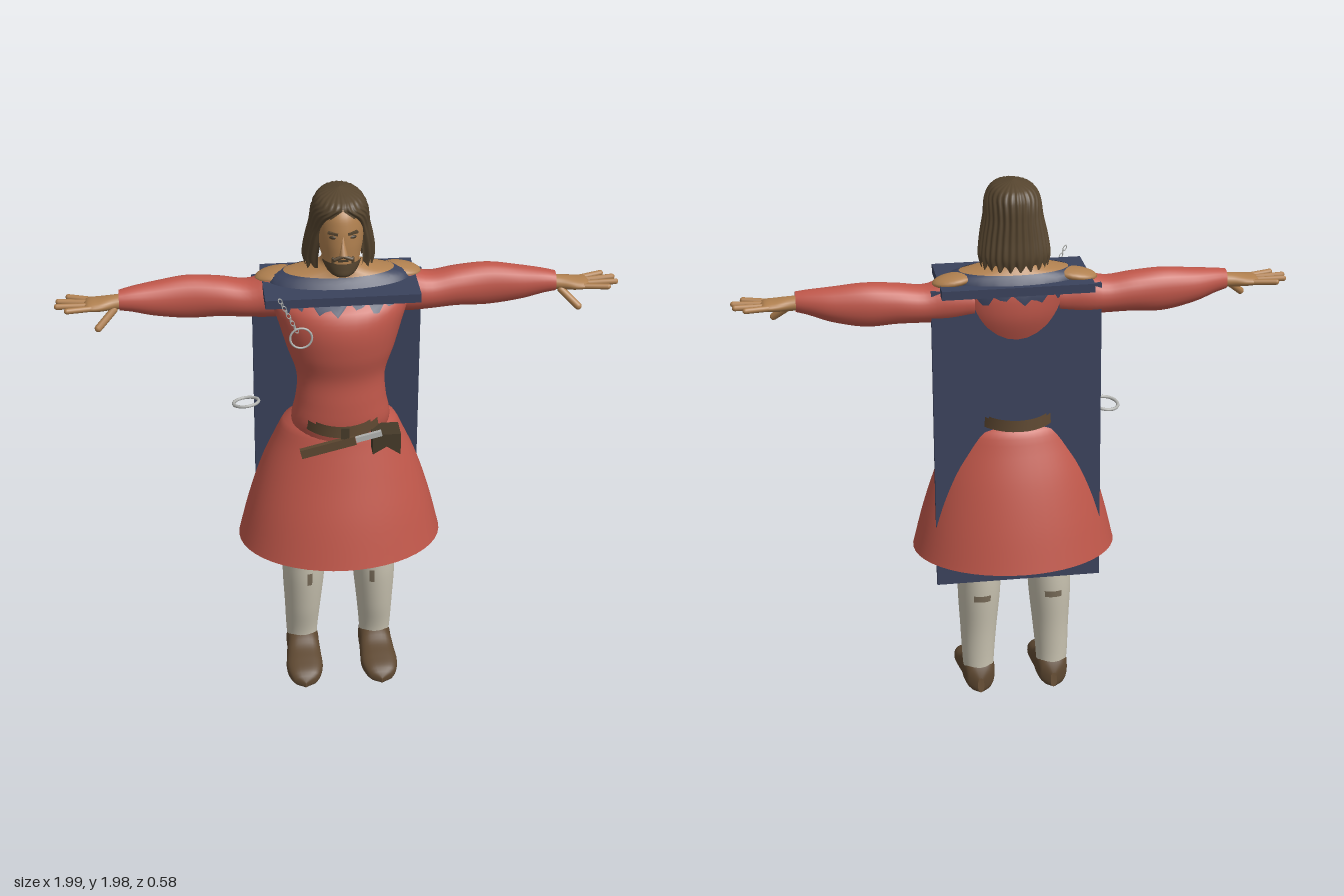
import * as THREE from 'three';
import { mergeVertices } from 'three/addons/utils/BufferGeometryUtils.js';

const { sin, cos, PI, abs, sign, max } = Math;
const V = (x, y, z) => new THREE.Vector3(x, y, z);
const paint = (name, color, side = THREE.DoubleSide) => {
  const m = new THREE.MeshStandardMaterial({ color, side });
  m.name = name;
  return m;
};

export function createModel() {
  const root = new THREE.Group();
  root.name = 'cloakedTraveller';
  const tunic = paint('red cloth', 0xc0574a);
  const navy = paint('navy cloth', 0x3a425c);
  const skin = paint('skin', 0xb0804f);
  const hair = paint('brown hair', 0x56452f);
  const leather = paint('leather', 0x5e4831);
  const dark = paint('dark leather', 0x463a29);
  const hose = paint('pale hose', 0xc8c2b0);
  const worn = paint('worn hose', 0x7a6d5a);
  const steel = paint('steel', 0xb4b5b2);

  const add = (name, geo, mat, pos = [0, 0, 0], rot = [0, 0, 0], scale = [1, 1, 1]) => {
    const m = new THREE.Mesh(geo, mat);
    m.name = name;
    m.position.set(...pos);
    m.rotation.set(...rot);
    m.scale.set(...scale);
    root.add(m);
    return m;
  };

  // Smooth interpolation of a table of cross-sections, keyed by the first column
  const sample = (rows, key) => {
    let i = 0;
    while (i < rows.length - 2 && key > rows[i + 1][0]) i++;
    const a = rows[i], b = rows[i + 1], p = rows[max(i - 1, 0)], q = rows[Math.min(i + 2, rows.length - 1)];
    const h = b[0] - a[0], t = (key - a[0]) / h, t2 = t * t, t3 = t2 * t;
    return a.map((v, k) => {
      if (k === 0) return key;
      const m0 = (b[k] - p[k]) / (b[0] - p[0]) * h, m1 = (q[k] - v) / (q[0] - a[0]) * h;
      return (2 * t3 - 3 * t2 + 1) * v + (t3 - 2 * t2 + t) * m0 + (3 * t2 - 2 * t3) * b[k] + (t3 - t2) * m1;
    });
  };

  // Surface over a grid; fn(u, v) with u along the rows and v around, both 0..1
  const grid = (nu, nv, fn) => {
    const pos = [], idx = [];
    for (let i = 0; i <= nu; i++) for (let j = 0; j <= nv; j++) pos.push(...fn(i / nu, j / nv));
    for (let i = 0; i < nu; i++) for (let j = 0; j < nv; j++) {
      const a = i * (nv + 1) + j, b = a + nv + 1;
      idx.push(a, a + 1, b + 1, a, b + 1, b);
    }
    let g = new THREE.BufferGeometry();
    g.setAttribute('position', new THREE.Float32BufferAttribute(pos, 3));
    g.setIndex(idx);
    g = mergeVertices(g, 1e-5);
    g.computeVertexNormals();
    return g;
  };

  // Upright loft of rows [y, cx, cz, rx, rz] from y0 to y1, over angles a0..a1, grown by "grow"
  const loft = (rows, y0, y1, { nu = 20, nv = 36, a0 = 0, a1 = 2 * PI, grow = 0, s = 1, edge = () => 0 } = {}) =>
    grid(nu, nv, (u, v) => {
      const a = a0 + (a1 - a0) * v;
      const lo = y0 + edge(a);
      const [y, cx, cz, rx, rz] = sample(rows, lo + (y1 - lo) * u);
      return [s * cx + (rx + grow) * sin(a), y, cz + (rz + grow) * cos(a)];
    });

  // Torso, navy yoke with a ragged hem, and bare neck
  const body = [
    [1.06, 0, 0.04, 0.17, 0.12], [1.12, 0, 0.05, 0.178, 0.122], [1.2, 0, 0.06, 0.163, 0.112],
    [1.3, 0, 0.063, 0.158, 0.106], [1.4, 0, 0.055, 0.19, 0.137], [1.5, 0, 0.04, 0.22, 0.158],
    [1.57, 0, 0.025, 0.243, 0.148], [1.62, 0, 0, 0.25, 0.115], [1.66, 0, -0.01, 0.22, 0.085],
    [1.685, 0, -0.005, 0.11, 0.072], [1.71, 0, 0, 0.066, 0.065], [1.78, 0, 0.015, 0.06, 0.06],
  ];
  add('torso', loft(body, 1.06, 1.61, { nu: 30 }), tunic);
  add('yoke', loft(body, 1.585, 1.668, {
    nu: 10, nv: 72, grow: 0.004, edge: a => 0.014 * sin(a * 23) + 0.01 * sin(a * 9),
  }), navy);
  add('neck', loft(body, 1.655, 1.78), skin);
  add('collarSlab', new THREE.BoxGeometry(0.54, 0.032, 0.295), navy, [0, 1.62, 0.015]);

  // Cape, leaning back towards its hem
  add('cape', new THREE.BoxGeometry(0.605, 1.13, 0.018), navy, [0, 1.055, -0.099], [0.04, 0, 0]);

  // Skirt with lining, and the belt
  const skirt = [
    [0.59, 0, 0, 0.375, 0.29], [0.75, 0, 0, 0.335, 0.25], [0.9, 0, 0, 0.287, 0.205],
    [1.02, 0, 0.005, 0.235, 0.165], [1.09, 0, 0.01, 0.2, 0.14], [1.105, 0, 0.015, 0.175, 0.12],
  ];
  add('skirt', loft(skirt, 0.59, 1.105, { nu: 24, nv: 48 }), tunic);
  add('skirtLining', loft(skirt, 0.615, 1.09, { nu: 16, nv: 48, grow: -0.008 }), navy);
  const belt = [[1.105, 0, 0.02, 0.16, 0.192], [1.143, 0, 0.02, 0.158, 0.19]];
  add('belt', loft(belt, 1.105, 1.143, { nu: 1 }), leather);
  add('beltInside', loft(belt, 1.105, 1.143, { nu: 1, grow: -0.012 }), leather);
  add('buckle', new THREE.BoxGeometry(0.03, 0.042, 0.008), dark, [0, 1.125, 0.214]);

  // Pouch with a notched lower edge
  const flap = new THREE.Shape([[0.1, 1.11], [0.1, 1.03], [0.15, 1.06], [0.2, 1.025], [0.2, 1.11]]
    .map(p => new THREE.Vector2(...p)));
  add('pouch', new THREE.ExtrudeGeometry(flap, { depth: 0.085, bevelEnabled: false }), dark, [0, 0, 0.125]);

  // Dagger in its sheath
  add('sheath', new THREE.BoxGeometry(0.2, 0.034, 0.018), leather, [-0.06, 1.072, 0.21], [0, 0, 0.24]);
  add('daggerGrip', new THREE.BoxGeometry(0.095, 0.02, 0.014), steel, [0.085, 1.107, 0.21], [0, 0, 0.24]);

  // Loose bracelet, and a ring hanging from a chain
  add('bracelet', new THREE.TorusGeometry(0.046, 0.006, 8, 32), steel, [-0.335, 1.135, -0.03], [PI / 2 - 0.15, 0.1, 0]);
  add('hangingRing', new THREE.TorusGeometry(0.038, 0.004, 6, 28), steel, [-0.152, 1.51, 0.206]);
  for (let i = 0; i < 9; i++) {
    const t = i / 8;
    add('chainLink', new THREE.TorusGeometry(0.008, 0.002, 5, 10), steel,
      [-0.222 + 0.055 * t, 1.655 - 0.115 * t, 0.206], [0, i % 2 ? 1.2 : 0.3, -1.1], [1.3, 0.8, 1]);
  }

  // Round-ended bar between two points
  const bar = (name, a, b, r, mat) => {
    const d = b.clone().sub(a);
    const m = add(name, new THREE.CapsuleGeometry(r, d.length() - r, 4, 10), mat);
    m.position.copy(a).addScaledVector(d, 0.5);
    m.quaternion.setFromUnitVectors(V(0, 1, 0), d.normalize());
  };

  // Sideways loft of rows [x, cy, cz, ry, rz], mirrored by s
  const armLoft = (rows, s) => grid(28, 24, (u, v) => {
    const [x, cy, cz, ry, rz] = sample(rows, rows[0][0] + (rows.at(-1)[0] - rows[0][0]) * u);
    const a = s * v * 2 * PI;
    return [s * x, cy + ry * cos(a), cz + rz * sin(a)];
  });
  const sleeve = [
    [0.15, 1.57, -0.02, 0.07, 0.08], [0.24, 1.57, -0.025, 0.08, 0.08], [0.32, 1.56, -0.028, 0.068, 0.072],
    [0.42, 1.568, -0.034, 0.073, 0.068], [0.53, 1.57, -0.036, 0.079, 0.062], [0.65, 1.574, -0.025, 0.062, 0.055],
    [0.73, 1.582, -0.012, 0.044, 0.044], [0.77, 1.583, -0.005, 0.036, 0.036],
  ];
  const palm = [
    [0.72, 1.58, -0.008, 0.027, 0.028], [0.79, 1.577, -0.003, 0.025, 0.033],
    [0.84, 1.574, 0, 0.021, 0.045], [0.88, 1.574, 0, 0.015, 0.045], [0.895, 1.574, 0, 0.001, 0.03],
  ];

  // Legs, rows [y, cx, cz, rx, rz]
  const leg = [
    [0.07, 0.14, -0.04, 0.056, 0.056], [0.13, 0.141, -0.037, 0.06, 0.058], [0.25, 0.138, -0.025, 0.068, 0.076],
    [0.4, 0.134, -0.02, 0.079, 0.096], [0.5, 0.131, -0.018, 0.08, 0.1], [0.6, 0.13, -0.01, 0.08, 0.1],
    [0.95, 0.11, 0, 0.1, 0.11],
  ];
  // Shoe rows [z, top, half width]
  const shoe = [
    [-0.108, 0.06, 0.012], [-0.095, 0.1, 0.045], [-0.05, 0.127, 0.06], [0.01, 0.118, 0.062],
    [0.06, 0.09, 0.066], [0.12, 0.072, 0.069], [0.17, 0.055, 0.055], [0.195, 0.035, 0.03], [0.2, 0.02, 0.001],
  ];
  const pow = t => sign(t) * abs(t) ** 0.75;

  for (const s of [1, -1]) {
    const side = s > 0 ? 'left' : 'right';
    add(side + 'Sleeve', armLoft(sleeve, s), tunic);
    add(side + 'ShoulderSkin', new THREE.SphereGeometry(1, 20, 10), skin,
      [s * 0.22, 1.643, -0.035], [0, 0, s * -0.15], [0.075, 0.022, 0.055]);
    add(side + 'Palm', armLoft(palm, s), skin);
    [[-0.034, -0.058, 0.95], [-0.012, -0.024, 0.985], [0.012, 0.016, 0.99], [0.034, 0.055, 0.955]].forEach(([z0, z1, x]) =>
      bar(side + 'Finger', V(s * 0.86, 1.574, z0), V(s * x, 1.578, z1), 0.0105, skin));
    bar(side + 'Thumb', V(s * 0.785, 1.562, 0.018), V(s * 0.85, 1.505, 0.062), 0.013, skin);

    add(side + 'Hose', loft(leg, 0.07, 0.565, { s }), hose);
    add(side + 'Breeches', loft(leg, 0.555, 0.95, {
      s, nu: 8, grow: 0.002, edge: a => 0.01 * sin(a * 7),
    }), worn);
    add(side + 'ShinPatch', loft(leg, 0.385, 0.44, { s, nu: 4, nv: 4, grow: 0.002, a0: -s * 0.2 - 0.12, a1: -s * 0.2 + 0.12 }), worn);
    add(side + 'CalfPatch', loft(leg, 0.395, 0.42, { s, nu: 3, nv: 6, grow: 0.002, a0: PI - 0.4, a1: PI + 0.4 }), worn);
    add(side + 'Shoe', grid(24, 28, (u, v) => {
      const [z, top, w] = sample(shoe, -0.108 + 0.308 * u);
      const a = v * 2 * PI;
      return [s * (0.14 + 0.03 * max(z, 0)) + w * pow(cos(a)), 0.002 + top * (0.5 + 0.5 * pow(sin(a))), z];
    }), leather);
  }

  // Head, rows [y, cx, cz, rx, rz]
  const head = [
    [1.7, 0, 0.115, 0.012, 0.015], [1.71, 0, 0.1, 0.036, 0.045], [1.735, 0, 0.08, 0.056, 0.066],
    [1.77, 0, 0.052, 0.07, 0.092], [1.82, 0, 0.038, 0.08, 0.107], [1.88, 0, 0.03, 0.083, 0.11],
    [1.93, 0, 0.022, 0.074, 0.1], [1.97, 0, 0.02, 0.04, 0.05],
  ];
  add('head', loft(head, 1.7, 1.97, { nu: 28 }), skin);
  add('beard', loft(head, 1.7, 1.757, {
    nu: 10, nv: 24, a0: -1.25, a1: 1.25, grow: 0.007,
  }), hair);
  const nose = new THREE.ConeGeometry(0.018, 0.07, 8);
  add('nose', nose, skin, [0, 1.827, 0.15], [-0.3, 0, 0], [0.85, 1, 1.1]);
  add('mouth', new THREE.BoxGeometry(0.036, 0.006, 0.006), dark, [0, 1.768, 0.147]);
  for (const s of [1, -1]) {
    add('moustache', new THREE.CapsuleGeometry(0.007, 0.028, 4, 8), hair, [s * 0.017, 1.778, 0.146], [0, 0, s * 1.2]);
    add('whisker', new THREE.CapsuleGeometry(0.006, 0.02, 4, 8), hair, [s * 0.034, 1.762, 0.134]);
    add('eye', new THREE.SphereGeometry(0.012, 12, 8), dark, [s * 0.033, 1.85, 0.131], [0, s * 0.3, 0], [1.2, 0.55, 0.6]);
    add('eyebrow', new THREE.BoxGeometry(0.036, 0.008, 0.012), hair, [s * 0.034, 1.866, 0.134], [0, s * 0.3, s * 0.12]);
  }

  // Long parted hair, rows [y, open half-angle at the face, cz, rx, rz]
  const mane = [
    [1.695, 0.8, -0.022, 0.118, 0.092], [1.73, 0.76, -0.02, 0.126, 0.1], [1.8, 0.74, -0.004, 0.117, 0.112],
    [1.86, 0.68, 0.008, 0.104, 0.121], [1.91, 0.46, 0.017, 0.098, 0.127], [1.945, 0.03, 0.018, 0.085, 0.118],
    [1.97, 0, 0.015, 0.058, 0.085], [1.985, 0, 0.01, 0.002, 0.002],
  ];
  add('hair', grid(30, 140, (u, v) => {
    const [y0, gap, cz, rx, rz] = sample(mane, 1.695 + 0.29 * u);
    const open = max(gap, 0), a = open + (2 * PI - 2 * open) * v;
    const tuck = open > 0.1 ? 0.13 * max(0, 1 - Math.min(v, 1 - v) * 18) : 0;
    const k = 1 + 0.025 * cos(v * 2 * PI * 24) - tuck;
    const y = y0 + (1 - u) ** 6 * 0.012 * sin(v * 2 * PI * 15);
    return [rx * k * sin(a), y, cz + rz * k * cos(a)];
  }), hair);

  return root;
}
